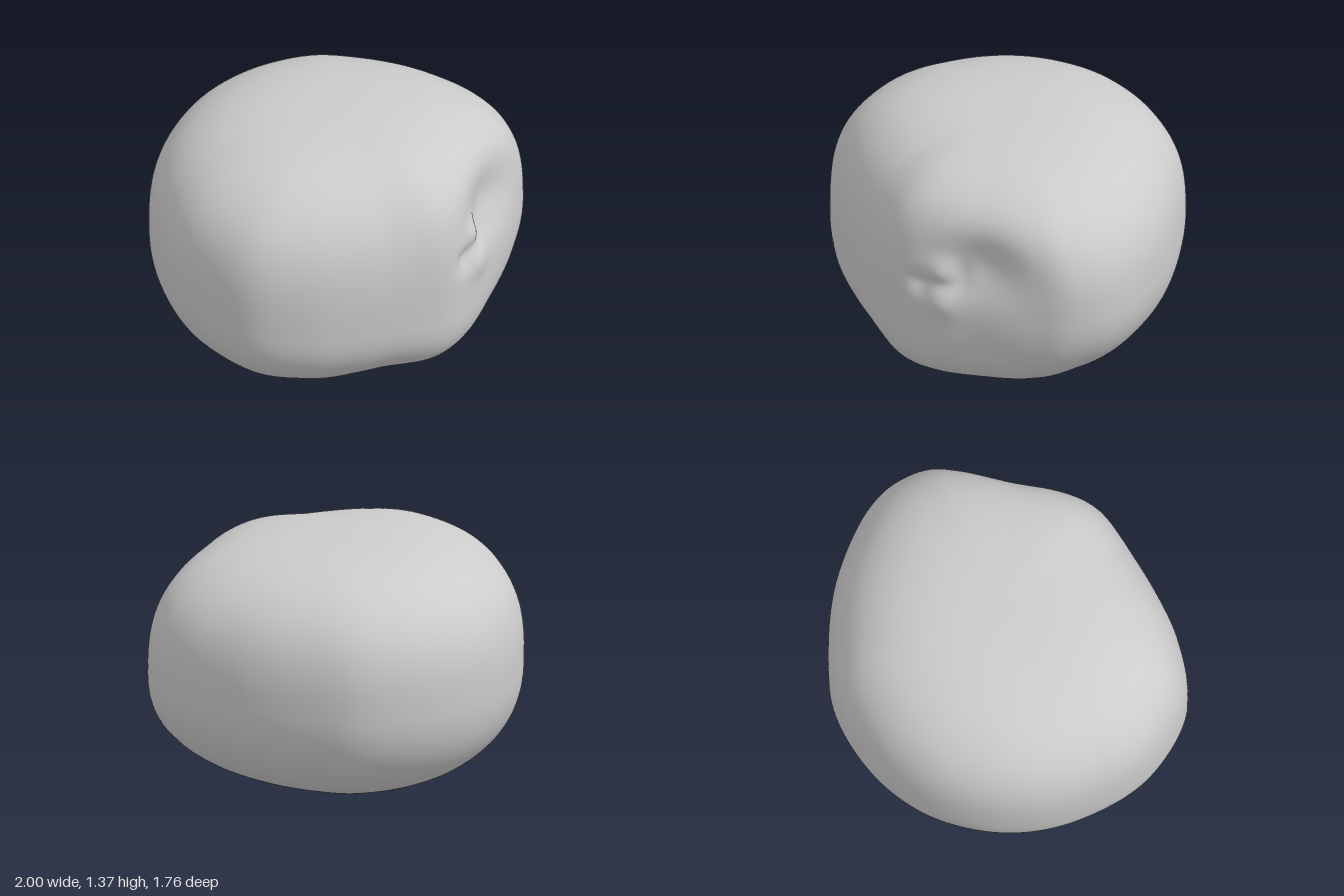
import * as THREE from 'three';
import { mergeVertices } from 'three/addons/utils/BufferGeometryUtils.js';

// Widest outline of the body as [x, z], from the right side round the front
const OUTLINE = [
  [-1, 0.12], [-0.96, 0.37], [-0.8, 0.65], [-0.54, 0.79], [-0.27, 0.85], [0.05, 0.875],
  [0.25, 0.855], [0.45, 0.755], [0.65, 0.585], [0.85, 0.395], [0.96, 0.25], [0.998, 0.07],
  [0.97, -0.09], [0.89, -0.26], [0.73, -0.485], [0.5, -0.69], [0.26, -0.835], [0, -0.88],
  [-0.26, -0.855], [-0.51, -0.755], [-0.77, -0.53], [-0.93, -0.25],
];
const TOP = 1.37;
const BOTTOM = 0.068;

// Direction of the flattened face
const FACE_X = 0.63, FACE_Z = 0.777;
// Dents and lumps on that face: [along, y, width, height, amount]
const FACE_MARKS = [
  [0.11, 0.95, 0.19, 0.13, -0.09],
  [0.24, 0.7, 0.13, 0.13, 0.012],
  [-0.08, 0.71, 0.06, 0.055, 0.022],
  [-0.08, 0.89, 0.055, 0.045, 0.025],
  [-0.1, 0.81, 0.09, 0.025, -0.012],
  [-0.2, 0.785, 0.045, 0.045, -0.027],
  [0.01, 0.87, 0.035, 0.05, -0.02],
];
// Lumps underneath: [x, z, width, depth, amount]
const BASE_LUMPS = [
  [-0.3, 0.1, 0.11, 0.09, 0.075],
  [-0.29, 0.43, 0.12, 0.12, 0.07],
];

const bump = (u, v, [cu, cv, wu, wv, amount]) =>
  amount * Math.exp(-0.5 * (((u - cu) / wu) ** 2 + ((v - cv) / wv) ** 2));
const sumBumps = (u, v, list) => list.reduce((total, b) => total + bump(u, v, b), 0);

// Rounded body: a sphere pushed out to the outline with squarish cross-sections
function bodyGeometry() {
  const curve = new THREE.CatmullRomCurve3(
    OUTLINE.map(([x, z]) => new THREE.Vector3(x, 0, z)), true);
  curve.arcLengthDivisions = 800;
  const geometry = new THREE.SphereGeometry(1, 256, 160);
  const pos = geometry.attributes.position;
  const uv = geometry.attributes.uv;
  const edge = new THREE.Vector3();

  for (let i = 0; i < pos.count; i++) {
    const sin = pos.getY(i);
    const cos = Math.sqrt(Math.max(0, 1 - sin * sin));
    // u is shifted at the poles, which does not matter as cos is 0 there
    curve.getPointAt(((uv.getX(i) % 1) + 1) % 1, edge);

    // Squarer above than below, and squarer at the front
    const front = Math.max(0, edge.z / 0.88);
    const power = sin > 0 ? 2.72 + 0.33 * front : 2.35 - 0.18 * edge.x + 0.23 * front;
    const k = (Math.abs(cos) ** power + Math.abs(sin) ** power) ** (-1 / power);
    const middle = 0.71 - 0.18 * front * front;
    const level = sin * k;

    // The flattened face fades out towards the top and the base
    const toFace = THREE.MathUtils.smoothstep(
      (edge.x * FACE_X + edge.z * FACE_Z) / edge.length(), 0.7, 1);
    const reach = cos * k * (1 + toFace * level * level * (sin > 0 ? 0.13 : 0.2));
    let x = edge.x * reach;
    let z = edge.z * reach;
    let y = middle + (sin > 0 ? TOP - middle : middle - BOTTOM) * level;

    // Dents, only on the flattened face
    const facing = THREE.MathUtils.smoothstep(x * FACE_X + z * FACE_Z, 0.3, 0.65);
    const push = facing * sumBumps(x * FACE_Z - z * FACE_X, y, FACE_MARKS);
    // Lumps, only on the underside
    if (sin < 0) y -= Math.min(1, -sin * 2) * sumBumps(x, z, BASE_LUMPS);
    x += push * FACE_X;
    z += push * FACE_Z;
    pos.setXYZ(i, x, y, z);
  }

  // Join the seam so that the shading is smooth all round
  geometry.deleteAttribute('uv');
  geometry.deleteAttribute('normal');
  const joined = mergeVertices(geometry, 1e-5);
  joined.computeVertexNormals();
  joined.computeBoundingBox();
  joined.translate(0, -joined.boundingBox.min.y, 0);
  return joined;
}

export function createModel() {
  const group = new THREE.Group();
  group.name = 'roundedStone';
  const body = new THREE.Mesh(
    bodyGeometry(), new THREE.MeshStandardMaterial({ color: 0xcccccc }));
  body.name = 'body';
  group.add(body);
  return group;
}
